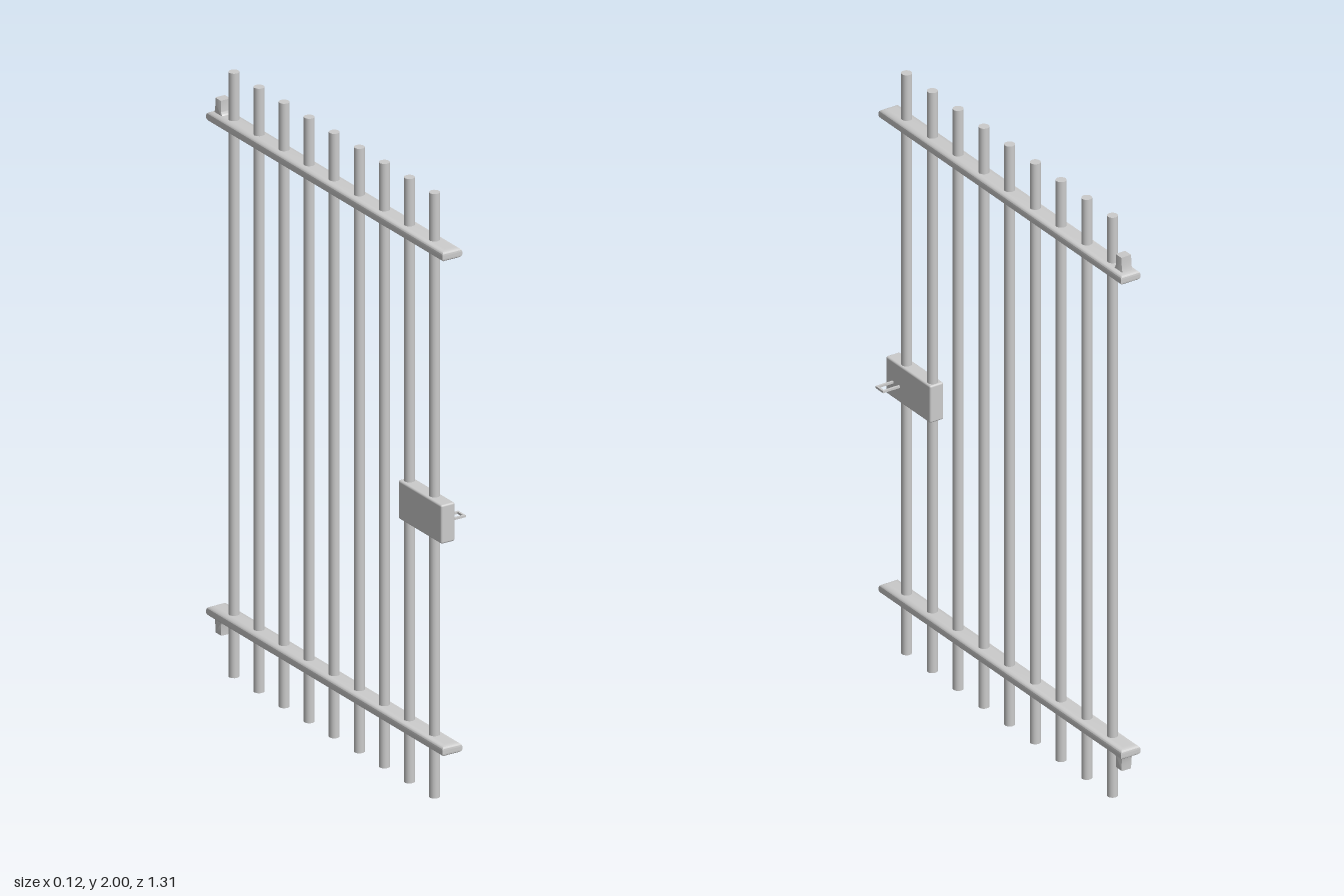
import * as THREE from 'three';
import { toCreasedNormals } from 'three/addons/utils/BufferGeometryUtils.js';
import { RoundedBoxGeometry } from 'three/addons/geometries/RoundedBoxGeometry.js';

const material = new THREE.MeshStandardMaterial({ color: 0xcccccc });
const GATE_X = -0.027;
const RAIL_HEIGHTS = [0.188, 1.825];

function part(name, geometry, x, y, z) {
  const mesh = new THREE.Mesh(geometry, material);
  mesh.name = name;
  mesh.position.set(x, y, z);
  return mesh;
}

// Flat rail with rounded long edges and tapered ends, lying along z
function railGeometry(width, height, length) {
  const bevel = 0.02, lip = 0.013;
  const w = width / 2 - bevel, l = length / 2 - bevel;
  const shape = new THREE.Shape([
    new THREE.Vector2(-w, -l), new THREE.Vector2(w, -l),
    new THREE.Vector2(w, l), new THREE.Vector2(-w, l),
  ]);
  const geometry = new THREE.ExtrudeGeometry(shape, {
    depth: height - 2 * lip, bevelThickness: lip, bevelSize: bevel, bevelSegments: 4,
  });
  geometry.center().rotateX(-Math.PI / 2);
  return toCreasedNormals(geometry, 0.7);
}

// Hinge pin with a flared foot, profile in the z-y plane
function hingeGeometry() {
  const shape = new THREE.Shape();
  shape.moveTo(-0.02, 0);
  shape.lineTo(-0.02, 0.012);
  shape.quadraticCurveTo(-0.013, 0.024, -0.012, 0.063);
  shape.lineTo(0.012, 0.063);
  shape.lineTo(0.012, 0.035);
  shape.quadraticCurveTo(0.013, 0.02, 0.024, 0.012);
  shape.lineTo(0.024, 0);
  const geometry = new THREE.ExtrudeGeometry(shape, {
    depth: 0.03, bevelThickness: 0.004, bevelSize: 0.004, bevelSegments: 2, curveSegments: 6,
  });
  geometry.translate(0, 0, -0.015).rotateY(-Math.PI / 2);
  return toCreasedNormals(geometry, 0.7);
}

// U-shaped pull, drawn in plan with its legs pointing to -x
function handleGeometry(reach, span, thickness) {
  const t = thickness, h = span / 2;
  const points = [
    [0, -h], [reach, -h], [reach, h], [0, h],
    [0, h - t], [reach - t, h - t], [reach - t, t - h], [0, t - h],
  ].map(([x, y]) => new THREE.Vector2(x, y));
  const geometry = new THREE.ExtrudeGeometry(new THREE.Shape(points), { depth: t, bevelEnabled: false });
  return geometry.translate(0, 0, -t / 2).rotateX(-Math.PI / 2);
}

export function createModel() {
  const gate = new THREE.Group();
  gate.name = 'barredGate';

  // Upright bars
  const bar = new THREE.CylinderGeometry(0.017, 0.017, 2, 16);
  for (let i = -4; i <= 4; i++) gate.add(part('bar', bar, GATE_X, 1, i * 0.139));

  // Cross rails, each with a hinge pin pointing outward at the back end
  const rail = railGeometry(0.072, 0.036, 1.31);
  const hinge = hingeGeometry();
  RAIL_HEIGHTS.forEach((y, i) => {
    gate.add(part('rail', rail, GATE_X, y, 0));
    const pin = part('hingePin', hinge, GATE_X, y, -0.616);
    if (i === 0) pin.rotation.z = Math.PI;
    gate.add(pin);
  });

  // Lock case and pull
  gate.add(part('lockCase', new RoundedBoxGeometry(0.05, 0.128, 0.24, 2, 0.006), -0.029, 0.932, 0.515));
  gate.add(part('lockHandle', handleGeometry(0.066, 0.042, 0.007), -0.008, 0.923, 0.579));

  return gate;
}
